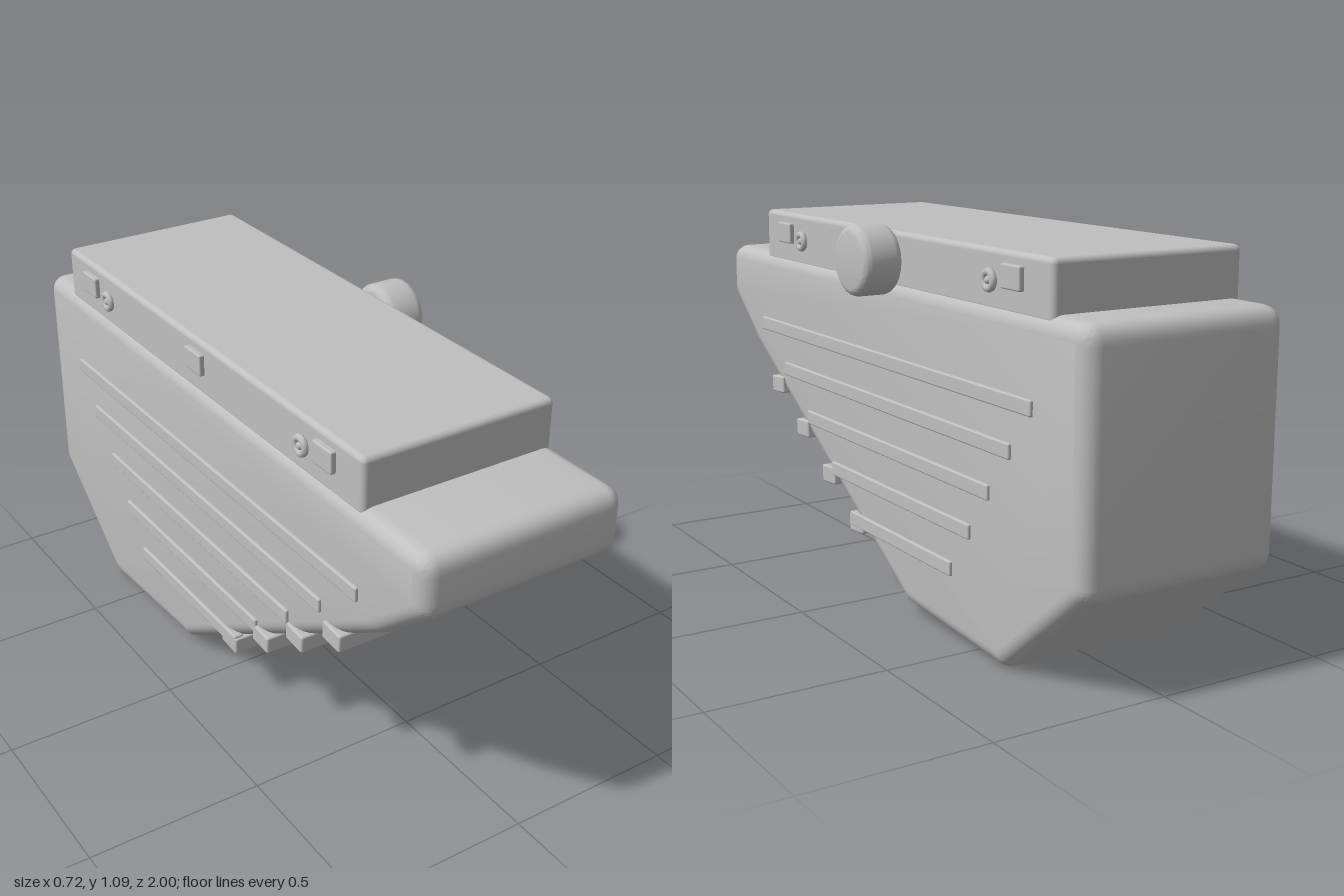
import * as THREE from 'three';
import { toCreasedNormals } from 'three/addons/utils/BufferGeometryUtils.js';
import { RoundedBoxGeometry } from 'three/addons/geometries/RoundedBoxGeometry.js';

const CX = -0.0475; // middle of the casing across x

// Closed outline from [z, y, cornerRadius] points
function roundedShape(points) {
  const shape = new THREE.Shape();
  const n = points.length;
  points.forEach(([x, y, r], i) => {
    const p = new THREE.Vector2(x, y);
    const [a, b] = [points[(i + n - 1) % n], points[(i + 1) % n]].map((q) => new THREE.Vector2(q[0], q[1]).sub(p).normalize());
    const half = Math.acos(a.dot(b)) / 2;
    const d = r / Math.tan(half); // tangent length of the corner arc
    const start = p.clone().addScaledVector(a, d);
    const end = p.clone().addScaledVector(b, d);
    if (i === 0) shape.moveTo(start.x, start.y);
    else shape.lineTo(start.x, start.y);
    if (r > 0) shape.quadraticCurveTo(x, y, end.x, end.y);
  });
  shape.closePath();
  return shape;
}

export function createModel() {
  const group = new THREE.Group();
  const grey = new THREE.MeshStandardMaterial({ color: 0xbfbfbf });
  grey.name = 'lightGrey';

  const add = (name, geometry, x, y, z) => {
    const mesh = new THREE.Mesh(geometry, grey);
    mesh.name = name;
    mesh.position.set(x, y, z);
    group.add(mesh);
    return mesh;
  };

  // Casing: side profile extruded across x with rounded edges
  const profile = roundedShape([
    [-1, 0.945, 0.055], [-1, 0.29, 0.06], [-0.65, 0.003, 0.06], [-0.16, 0.033, 0],
    [0.82, 0.635, 0.2], [1, 0.785, 0.06], [1, 0.945, 0.055],
  ]);
  const bevel = 0.045, width = 0.605;
  const casing = new THREE.ExtrudeGeometry(profile, {
    depth: width - 2 * bevel, curveSegments: 8,
    bevelEnabled: true, bevelThickness: bevel, bevelSize: bevel, bevelOffset: -bevel, bevelSegments: 6,
  });
  casing.translate(0, 0, -(width / 2 - bevel));
  casing.rotateY(-Math.PI / 2);
  add('casing', toCreasedNormals(casing, 0.45), CX, 0, 0);

  // Lid
  add('lid', new RoundedBoxGeometry(0.578, 0.16, 1.58, 3, 0.016), CX, 1.0, -0.053);

  // Knob with rounded rims, turned to point along x
  const rim = 0.025, radius = 0.098, length = 0.12;
  const knobPoints = [new THREE.Vector2(0, 0)];
  for (const [centre, from] of [[rim, -Math.PI / 2], [length - rim, 0]]) {
    for (let i = 0; i <= 6; i++) {
      const t = from + (i / 6) * Math.PI / 2;
      knobPoints.push(new THREE.Vector2(radius - rim + rim * Math.cos(t), centre + rim * Math.sin(t)));
    }
  }
  knobPoints.push(new THREE.Vector2(0, length));
  const knob = new THREE.LatheGeometry(knobPoints, 48);
  knob.rotateZ(-Math.PI / 2);
  add('knob', toCreasedNormals(knob, 0.5), 0.24, 1.0, -0.05);

  // Lid fittings on both sides: square pads and ring-shaped screws
  const pad = new RoundedBoxGeometry(0.03, 0.062, 0.084, 2, 0.005);
  const ring = new THREE.TorusGeometry(0.021, 0.01, 10, 28).rotateY(Math.PI / 2);
  const stud = new THREE.CylinderGeometry(0.021, 0.021, 0.016, 24).rotateZ(Math.PI / 2);
  const pin = new THREE.SphereGeometry(0.011, 14, 10);
  for (const side of [1, -1]) {
    const x = CX + side * 0.289;
    for (const z of [0.583, -0.683]) add('lidPad', pad, x, 1.018, z);
    for (const z of [0.478, -0.578]) {
      add('screwRing', ring, x + side * 0.006, 1.0, z);
      add('screwBase', stud, x, 1.0, z);
      add('screwPin', pin, x + side * 0.006, 1.0, z);
    }
  }
  add('middlePad', pad, CX - 0.289, 1.018, -0.05);

  // Long ribs on both flanks: height, front end, back end
  const ribs = [
    [0.715, 0.745, -0.787], [0.59, 0.585, -0.695], [0.463, 0.428, -0.6],
    [0.336, 0.265, -0.51], [0.21, 0.15, -0.418],
  ];
  for (const [y, front, back] of ribs) {
    const rib = new RoundedBoxGeometry(0.03, 0.042, front - back, 2, 0.005);
    for (const side of [1, -1]) add('sideRib', rib, CX + side * 0.2965, y, (front + back) / 2);
  }

  // Cross bars over the sloping front
  const bar = new RoundedBoxGeometry(0.622, 0.053, 0.08, 2, 0.006);
  for (let i = 0; i < 4; i++) {
    add('crossBar', bar, CX, 0.53 - i * 0.11, 0.64 - i * 0.175).rotation.x = 0.07;
  }

  return group;
}
